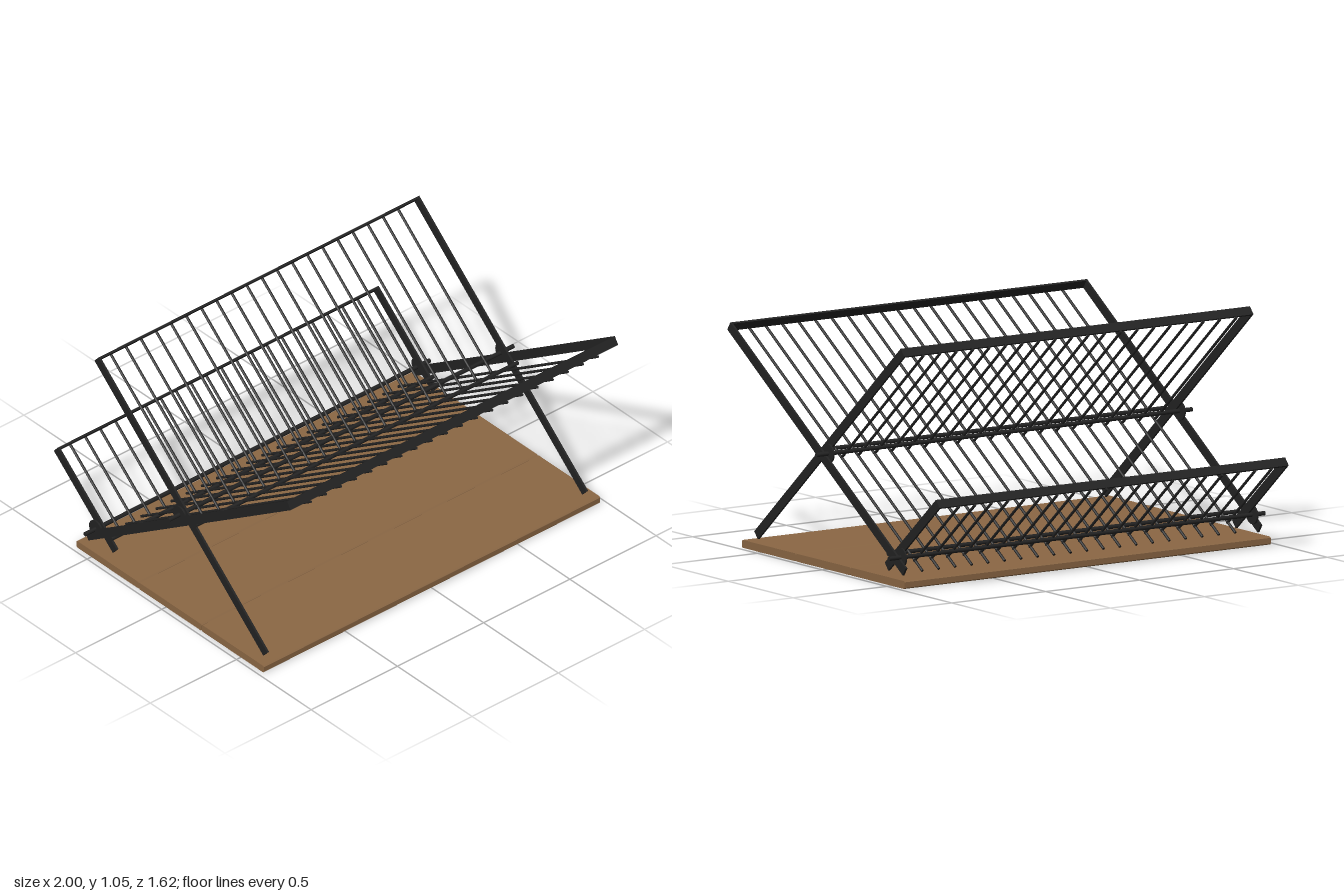
import * as THREE from 'three';

const metal = new THREE.MeshStandardMaterial({ color: 0x222222 });
metal.name = 'blackMetal';
const wood = new THREE.MeshStandardMaterial({ color: 0x8b6744 });
wood.name = 'brownWood';

const STRIP = 0.042;   // depth of the flat bars
const THIN = 0.01;     // thickness of the flat bars
const WIRE = 0.0062;   // wire radius
const WIRES = 20;

function add(parent, name, geometry, material, x, y, z) {
  const mesh = new THREE.Mesh(geometry, material);
  mesh.name = name;
  mesh.position.set(x, y, z);
  parent.add(mesh);
  return mesh;
}

// Round bar running along x
function rod(parent, name, halfLength, radius, y, z, x = 0, sides = 12) {
  const mesh = add(parent, name, new THREE.CylinderGeometry(radius, radius, 2 * halfLength, sides), metal, x, y, z);
  mesh.rotation.z = Math.PI / 2;
  return mesh;
}

// U-shaped flat-bar frame from a foot point to a top point, with wires on its underside
function rack(name, foot, top, halfWidth, wireStart) {
  const group = new THREE.Group();
  group.name = name;
  const dy = top.y - foot.y, dz = top.z - foot.z;
  const length = Math.hypot(dy, dz);
  const angle = Math.atan2(dz, dy);
  const under = Math.sign(angle);
  group.position.set(0, foot.y, foot.z);
  group.rotation.x = angle;

  for (const side of [-1, 1]) {
    add(group, 'sideBar', new THREE.BoxGeometry(THIN, length, STRIP), metal,
      side * (halfWidth - THIN / 2), length / 2, 0);
  }
  add(group, 'topBar', new THREE.BoxGeometry(2 * halfWidth, THIN, STRIP), metal, 0, length - THIN / 2, 0);

  const wireLength = length - wireStart;
  const wireGeometry = new THREE.CylinderGeometry(WIRE, WIRE, wireLength, 8);
  for (let i = 0; i < WIRES; i++) {
    const x = -0.836 + i * 0.0877;
    add(group, 'wire', wireGeometry, metal, x, wireStart + wireLength / 2, under * (STRIP / 2 + WIRE));
  }
  return group;
}

// Board plank with slightly bevelled long edges
function plank(zBack, zFront) {
  const h = 0.035, b = 0.005;
  const shape = new THREE.Shape([
    [zBack + b, 0], [zFront - b, 0], [zFront, b], [zFront, h - b],
    [zFront - b, h], [zBack + b, h], [zBack, h - b], [zBack, b],
  ].map(([z, y]) => new THREE.Vector2(-z, y)));
  const geometry = new THREE.ExtrudeGeometry(shape, { depth: 1.95, bevelEnabled: false });
  geometry.translate(0, 0, -0.975);
  geometry.rotateY(Math.PI / 2);
  return geometry;
}

export function createModel() {
  const model = new THREE.Group();
  model.name = 'dryingRack';

  // Base board of three planks
  for (const [back, front] of [[-0.6, -0.182], [-0.181, 0.238], [0.239, 0.655]]) {
    add(model, 'plank', plank(back, front), wood, 0, 0, 0);
  }

  // Crossed racks and the short rear rack
  model.add(rack('frontLeaningRack', { y: 0.068, z: -0.56 }, { y: 0.964, z: 0.793 }, 0.95, 0.02));
  model.add(rack('backLeaningRack', { y: 0.057, z: 0.612 }, { y: 1.036, z: -0.518 }, 0.93, 0.66));
  model.add(rack('rearRack', { y: 0.066, z: -0.395 }, { y: 0.403, z: -0.79 }, 0.93, 0.07));

  // Pivot rods with round end tabs
  for (const [y, z] of [[0.505, 0.045], [0.125, -0.515]]) {
    rod(model, 'pivotRod', 1, 0.01, y, z);
    for (const side of [-1, 1]) {
      rod(model, 'pivotTab', 0.004, 0.042, y, z, side * 0.935, 24);
    }
  }

  // Inner rods carrying the wires of the front-leaning rack
  for (const [y, z] of [[0.503, 0.15], [0.125, -0.413]]) {
    rod(model, 'supportRod', 0.935, 0.0095, y, z);
  }

  return model;
}
